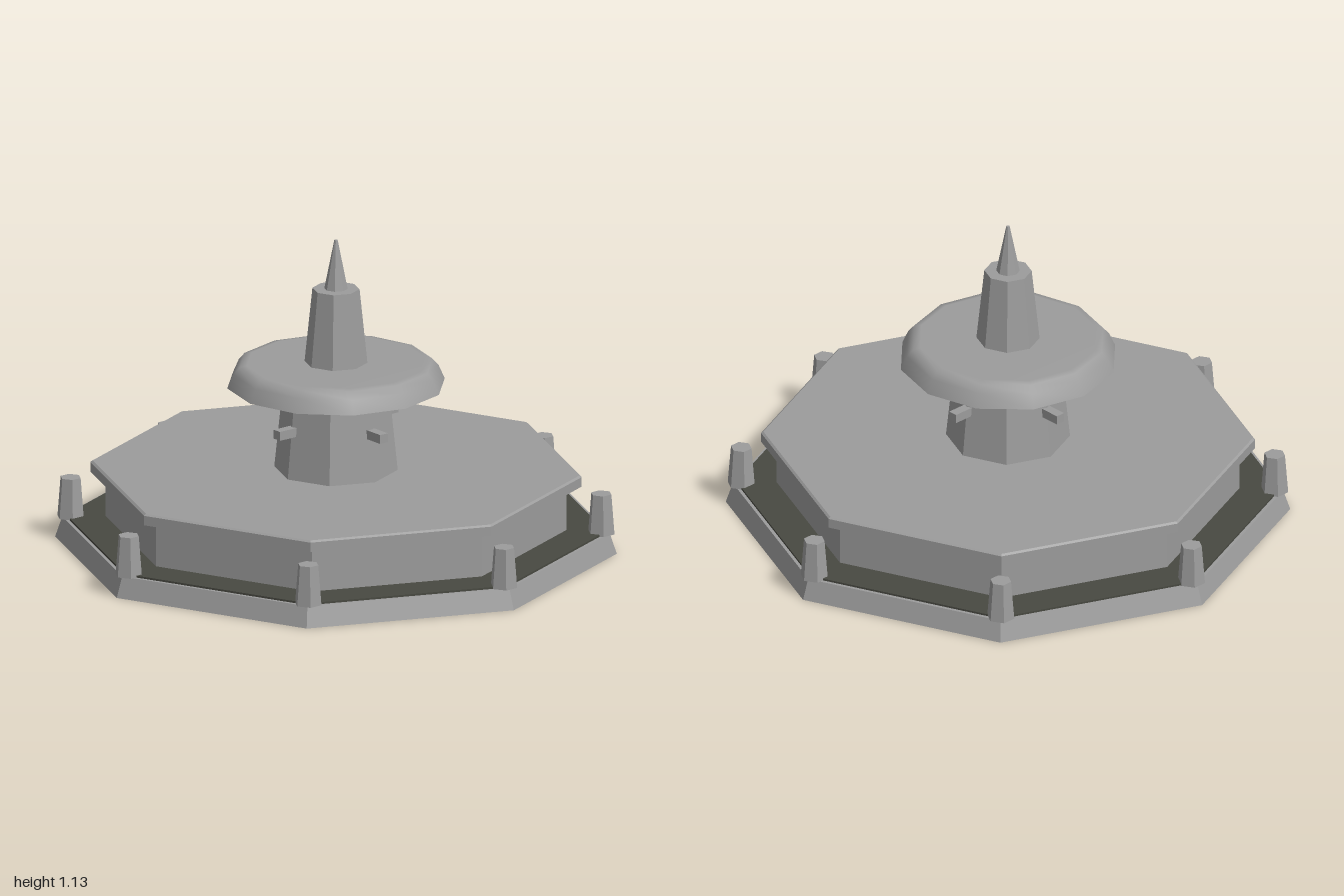
import * as THREE from 'three';

export function createModel() {
  const group = new THREE.Group();
  const stone = new THREE.MeshStandardMaterial({ color: 0x9c9c9c, flatShading: true });
  const smoothStone = new THREE.MeshStandardMaterial({ color: 0x9c9c9c });
  const basin = new THREE.MeshStandardMaterial({ color: 0x484941, flatShading: true });
  stone.name = 'stone';
  smoothStone.name = 'smooth stone';
  basin.name = 'dark basin';

  // Tapered prism standing between two heights
  function prism(name, rBottom, rTop, y0, y1, sides = 8, material = stone) {
    const mesh = new THREE.Mesh(new THREE.CylinderGeometry(rTop, rBottom, y1 - y0, sides), material);
    mesh.position.y = (y0 + y1) / 2;
    mesh.name = name;
    group.add(mesh);
    return mesh;
  }

  // Octagonal plinth, dark channel and raised platform
  prism('plinth', 1, 0.975, 0, 0.075);
  prism('channelFloor', 0.962, 0.962, 0.074, 0.082, 8, basin);
  prism('platformWall', 0.82, 0.82, 0.08, 0.245);
  prism('platformSlab', 0.875, 0.875, 0.245, 0.28);
  prism('platformBevel', 0.875, 0.867, 0.28, 0.286);

  // Corner posts
  for (let i = 0; i < 8; i++) {
    const a = (i * Math.PI) / 4;
    const post = prism('cornerPost', 0.05, 0.038, 0.075, 0.222, 6);
    post.position.x = Math.sin(a) * 0.945;
    post.position.z = Math.cos(a) * 0.945;
  }

  // Central column and spire
  prism('lowerColumn', 0.22, 0.187, 0.284, 0.605);
  prism('upperColumn', 0.113, 0.084, 0.67, 0.952);
  prism('spire', 0.042, 0.006, 0.95, 1.132);

  // Rounded bowl-shaped disc with a flat underside
  const profile = [[0.39, 0.6], [0.368, 0.65], [0.346, 0.675], [0.32, 0.68], [0, 0.68]]
    .map(([x, y]) => new THREE.Vector2(x, y));
  const disc = new THREE.Mesh(new THREE.LatheGeometry(profile, 12), smoothStone);
  disc.name = 'disc';
  group.add(disc);
  const under = new THREE.Mesh(new THREE.CircleGeometry(0.39, 12), stone);
  under.rotation.x = Math.PI / 2;
  under.position.y = 0.6;
  under.name = 'discUnderside';
  group.add(under);

  // Four spouts around the lower column
  for (let i = 0; i < 4; i++) {
    const a = (i * Math.PI) / 2;
    const spout = new THREE.Mesh(new THREE.BoxGeometry(0.035, 0.033, 0.1), stone);
    spout.position.set(Math.sin(a) * 0.22, 0.46, Math.cos(a) * 0.22);
    spout.rotation.y = a;
    spout.name = 'spout';
    group.add(spout);
  }

  return group;
}
